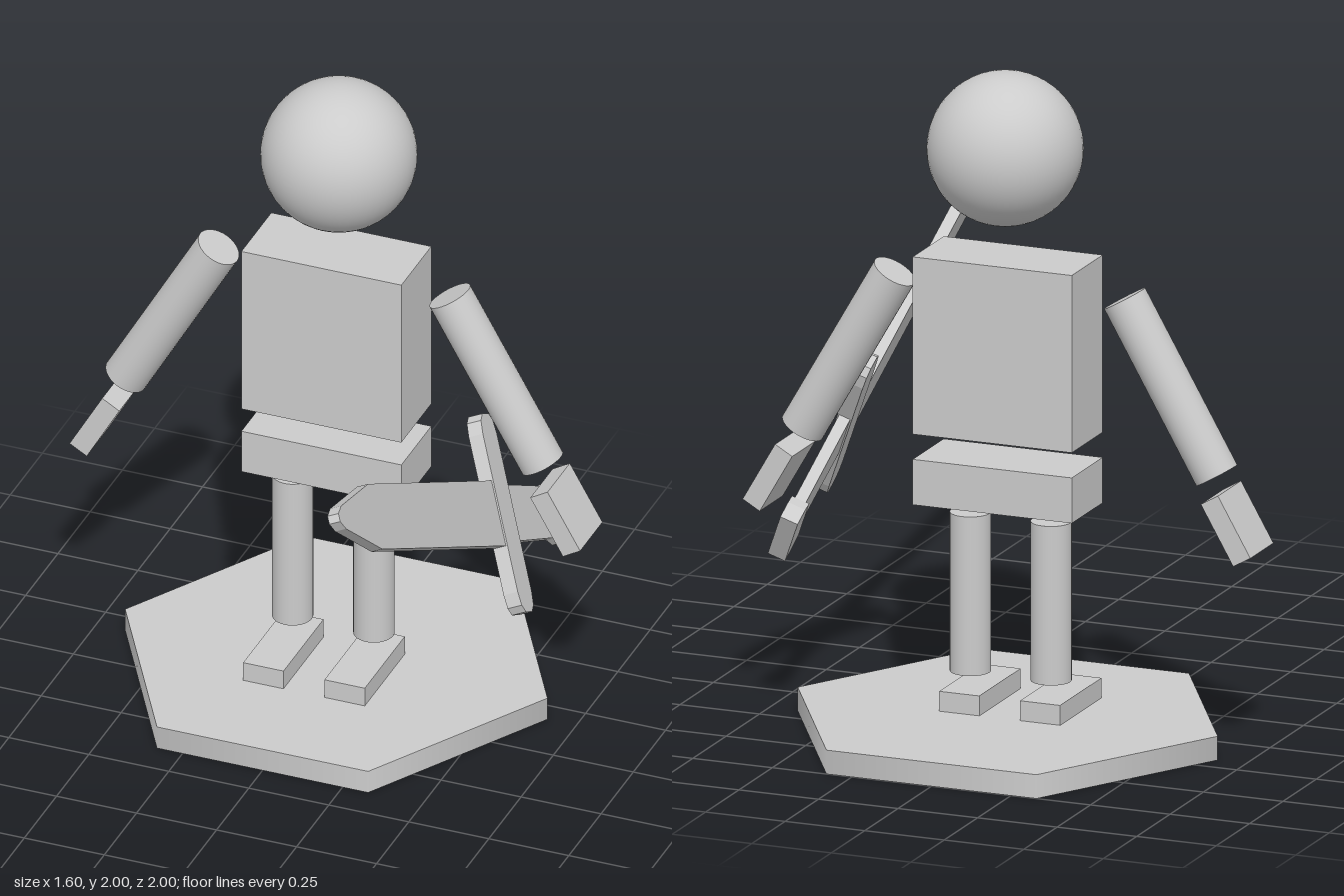
import * as THREE from 'three';

const material = new THREE.MeshStandardMaterial({ color: 0xcccccc });

function add(parent, name, geometry, x = 0, y = 0, z = 0, tilt = 0) {
  const mesh = new THREE.Mesh(geometry, material);
  mesh.name = name;
  mesh.position.set(x, y, z);
  mesh.rotation.z = tilt;
  parent.add(mesh);
  return mesh;
}

// Flat plate from half an outline [halfWidth, along], mirrored across the long axis
function plate(half, depth) {
  const mirrored = half.map(([x, y]) => [-x, y]).reverse();
  const points = [...half, ...mirrored].map(([x, y]) => new THREE.Vector2(x, y));
  const geometry = new THREE.ExtrudeGeometry(new THREE.Shape(points), { depth, bevelEnabled: false });
  return geometry.translate(0, 0, -depth / 2);
}

function createSword() {
  const sword = new THREE.Group();
  sword.name = 'sword';
  add(sword, 'blade', plate([[0.097, 0], [0.097, 1.062], [0.034, 1.32], [0.012, 1.355]], 0.035));
  add(sword, 'grip', plate([[0.075, -0.42], [0.085, 0]], 0.035));
  add(sword, 'pommel', plate([[0.088, -0.5], [0.09, -0.44], [0.075, -0.4]], 0.055));
  // Crossguard with chamfered ends
  const guard = plate([[0.025, -0.295], [0.048, -0.275], [0.057, -0.235],
    [0.057, 0.235], [0.048, 0.275], [0.025, 0.295]], 0.045);
  add(sword, 'crossguard', guard.rotateZ(Math.PI / 2));

  // Aim the blade forward and up, with the crossguard leaning sideways
  const along = new THREE.Vector3(-0.03, 0.48, 0.877).normalize();
  const across = new THREE.Vector3(-0.41, 0.8, -0.42);
  across.addScaledVector(along, -across.dot(along)).normalize();
  const normal = new THREE.Vector3().crossVectors(across, along);
  sword.quaternion.setFromRotationMatrix(new THREE.Matrix4().makeBasis(across, along, normal));
  sword.position.set(0.607, 0.818, -0.193);
  return sword;
}

export function createModel() {
  const model = new THREE.Group();
  model.name = 'swordFigure';

  // Hexagonal stand with corners pointing sideways
  const stand = new THREE.CylinderGeometry(0.66, 0.66, 0.072, 6).rotateY(Math.PI / 6);
  add(model, 'stand', stand, 0, 0.036, -0.428);

  // Head and trunk
  add(model, 'head', new THREE.SphereGeometry(0.228, 48, 32), 0.008, 1.772, -0.428);
  add(model, 'torso', new THREE.BoxGeometry(0.5, 0.535, 0.232), 0, 1.18, -0.428);
  add(model, 'hips', new THREE.BoxGeometry(0.5, 0.137, 0.232), 0, 0.768, -0.428);

  // Limbs on both sides
  for (const [side, s] of [['left', 1], ['right', -1]]) {
    const legX = s * 0.127 - 0.005;
    add(model, side + 'Leg', new THREE.CylinderGeometry(0.06, 0.06, 0.48, 32), legX, 0.42, -0.417);
    add(model, side + 'Foot', new THREE.BoxGeometry(0.126, 0.06, 0.31), legX, 0.102, -0.345);
    const tilt = s * Math.PI / 6;
    add(model, side + 'Arm', new THREE.CylinderGeometry(0.067, 0.067, 0.579, 32),
      s * 0.506 - 0.01, 1.113, -0.437, tilt);
    add(model, side + 'Hand', new THREE.BoxGeometry(0.062, 0.204, 0.173),
      s * 0.72 - 0.003, 0.722, -0.433, tilt);
  }

  model.add(createSword());
  return model;
}
